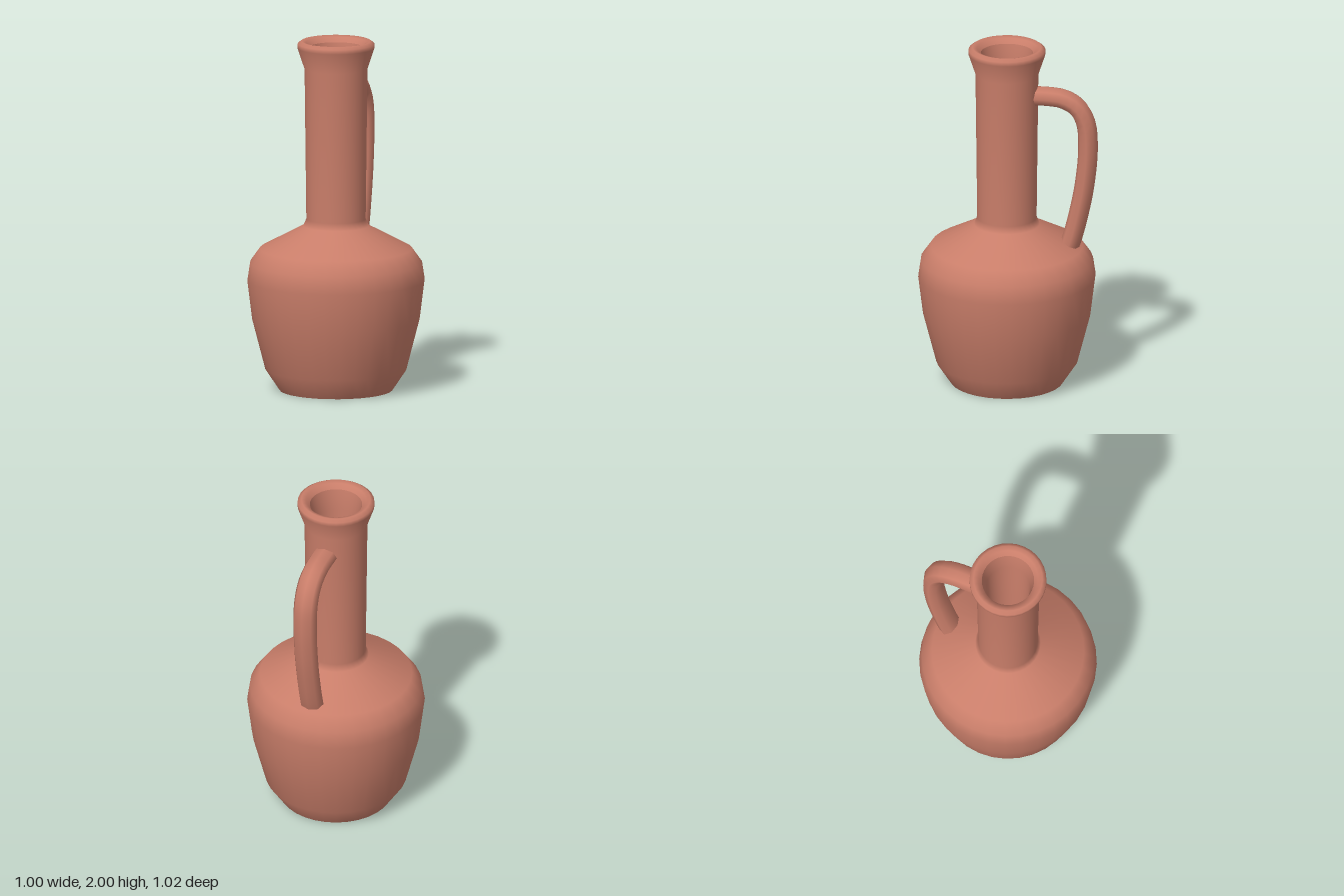
import * as THREE from 'three';

const clay = new THREE.MeshStandardMaterial({ color: 0xc87d69 });

function lathe(name, points) {
  const profile = points.map(([r, y]) => new THREE.Vector2(r, y));
  const mesh = new THREE.Mesh(new THREE.LatheGeometry(profile, 32), clay);
  mesh.name = name;
  mesh.position.z = 0.01;
  return mesh;
}

export function createModel() {
  const jug = new THREE.Group();
  jug.name = 'jug';

  // flat underside, kept separate for a sharp foot edge
  jug.add(lathe('base', [[0, 0], [0.32, 0]]));

  // outer wall: belly, shoulder, neck and flared lip
  jug.add(lathe('body', [
    [0.32, 0], [0.4, 0.12], [0.475, 0.41], [0.502, 0.63], [0.487, 0.73], [0.43, 0.81],
    [0.185, 0.94], [0.168, 0.98], [0.178, 1.84], [0.218, 1.96], [0.217, 1.985],
    [0.195, 2], [0.17, 1.992], [0.148, 1.965],
  ]));

  // inner wall, running from the lip down to the floor
  jug.add(lathe('interior', [
    [0.148, 1.965], [0.125, 1.84], [0.1, 1.0], [0.12, 0.91], [0.38, 0.77],
    [0.44, 0.63], [0.41, 0.41], [0.34, 0.13], [0.28, 0.06], [0, 0.06],
  ]));

  // handle: bent bar with an oval section
  const path = new THREE.CatmullRomCurve3([
    [1.715, -0.12], [1.715, -0.22], [1.705, -0.31], [1.66, -0.39], [1.57, -0.44],
    [1.42, -0.453], [1.2, -0.434], [1.0, -0.395], [0.86, -0.358], [0.77, -0.325],
  ].map(([y, z]) => new THREE.Vector3(0, y, z)));
  const bar = new THREE.TubeGeometry(path, 28, 0.056, 8);
  bar.scale(1.27, 1, 1);
  const handle = new THREE.Mesh(bar, clay);
  handle.name = 'handle';
  jug.add(handle);

  return jug;
}
